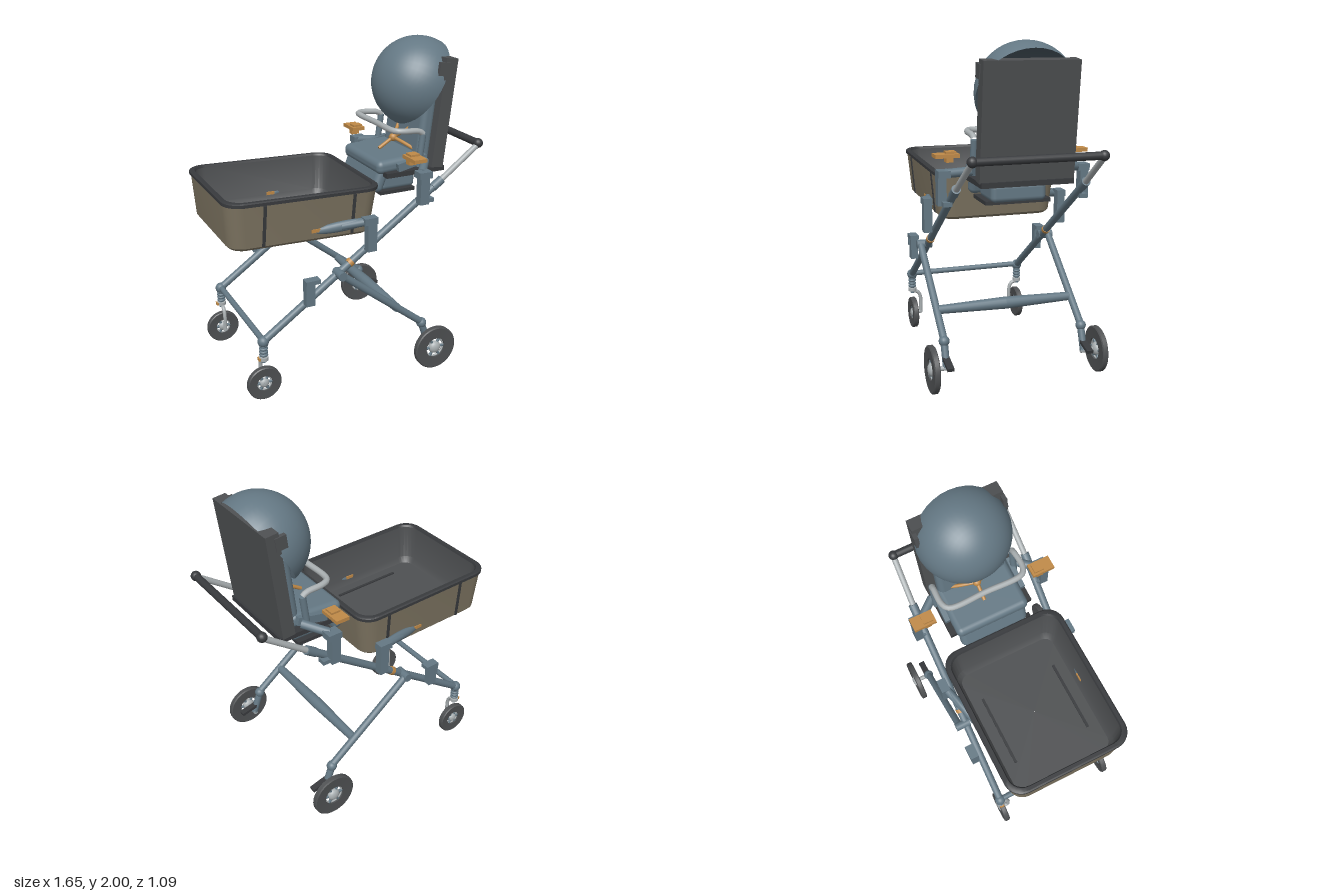
import * as THREE from 'three';
import { toCreasedNormals } from 'three/addons/utils/BufferGeometryUtils.js';
import { RoundedBoxGeometry } from 'three/addons/geometries/RoundedBoxGeometry.js';

const mat = (name, color) => Object.assign(new THREE.MeshStandardMaterial({ color }), { name });
const V = (x, y, z) => new THREE.Vector3(x, y, z);

export function createModel() {
  const slate = mat('slate frame', 0x647884);
  const dark = mat('charcoal', 0x4e5052);
  const black = mat('black trim', 0x383a3d);
  const tan = mat('tan fabric', 0x7d7461);
  const orange = mat('orange', 0xc08a48);
  const light = mat('light metal', 0xa9afb1);
  const inside = mat('hood lining', 0x46545d);
  inside.side = THREE.BackSide;

  const root = new THREE.Group();
  const add = (name, geo, m, parent = root) => {
    const mesh = new THREE.Mesh(geo, m);
    mesh.name = name;
    parent.add(mesh);
    return mesh;
  };
  const bar = (name, a, b, r, m, parent = root, r2 = r) => {
    const d = b.clone().sub(a);
    const mesh = add(name, new THREE.CylinderGeometry(r2, r, d.length(), 16), m, parent);
    mesh.position.copy(a).add(b).multiplyScalar(0.5);
    mesh.quaternion.setFromUnitVectors(V(0, 1, 0), d.normalize());
    return mesh;
  };
  const box = (name, x, y, z, w, h, d, m, parent = root, rz = 0) => {
    const mesh = add(name, new THREE.BoxGeometry(w, h, d), m, parent);
    mesh.position.set(x, y, z);
    mesh.rotation.z = rz;
    return mesh;
  };
  const ball = (name, x, y, z, r, m, parent = root) => {
    const mesh = add(name, new THREE.SphereGeometry(r, 16, 12), m, parent);
    mesh.position.set(x, y, z);
    return mesh;
  };
  const tube = (name, pts, r, m, parent = root) =>
    add(name, new THREE.TubeGeometry(new THREE.CatmullRomCurve3(pts, false, 'centripetal'), 40, r, 10), m, parent);

  // Skin through rounded rectangles given as [halfX, halfZ, cornerRadius, y]
  const loft = (loops) => {
    const ring = ([hx, hz, r, y]) => {
      const out = [];
      for (let q = 0; q < 4; q++) for (let k = 0; k <= 6; k++) {
        const t = (q + k / 6) * Math.PI / 2;
        const sx = q === 0 || q === 3 ? 1 : -1, sz = q < 2 ? 1 : -1;
        out.push([sx * (hx - r) + r * Math.cos(t), y, sz * (hz - r) + r * Math.sin(t)]);
      }
      return out;
    };
    const pos = [];
    for (let i = 0; i < loops.length - 1; i++) {
      const A = ring(loops[i]), B = ring(loops[i + 1]);
      A.forEach((a, j) => {
        const n = (j + 1) % A.length;
        pos.push(...a, ...B[j], ...B[n], ...a, ...B[n], ...A[n]);
      });
    }
    const g = new THREE.BufferGeometry();
    g.setAttribute('position', new THREE.Float32BufferAttribute(pos, 3));
    g.computeVertexNormals();
    return toCreasedNormals(g, 0.6);
  };

  // Wheel lying in the xy plane
  const wheel = (name, x, y, z, R) => {
    const g = new THREE.Group();
    g.name = name;
    g.position.set(x, y, z);
    root.add(g);
    const ri = R * 0.46, w = 0.018;
    const profile = [[ri, -w * 0.8], [R * 0.95, -w], [R, -w * 0.7], [R, w * 0.7], [R * 0.95, w], [ri, w * 0.8], [ri, -w * 0.8]];
    const tyre = new THREE.LatheGeometry(profile.map(p => new THREE.Vector2(...p)), 40);
    add('tyre', toCreasedNormals(tyre, 0.5), dark, g).rotation.x = Math.PI / 2;
    add('rim', new THREE.TorusGeometry(ri * 0.95, 0.006, 8, 32), light, g);
    for (let i = 0; i < 6; i++) {
      const t = i * Math.PI / 3;
      bar('spoke', V(0, 0, 0), V(Math.cos(t) * ri, Math.sin(t) * ri, 0), 0.009, slate, g);
    }
    ball('hub', 0, 0, 0, R * 0.29, light, g).scale.z = 0.7;
  };

  // Carry cot: tan shell, black rim, charcoal lining
  const cot = new THREE.Group();
  cot.name = 'carryCot';
  cot.position.set(-0.345, 1.222, 0);
  cot.rotation.z = -0.03;
  root.add(cot);
  add('cotShell', loft([[0.002, 0.002, 0.001, -0.282], [0.43, 0.34, 0.08, -0.282], [0.446, 0.356, 0.09, -0.265], [0.472, 0.382, 0.1, -0.005]]), tan, cot);
  add('cotRim', loft([[0.47, 0.38, 0.1, -0.014], [0.48, 0.39, 0.105, -0.012], [0.48, 0.39, 0.105, 0.006], [0.472, 0.382, 0.1, 0.012], [0.452, 0.362, 0.09, 0.012], [0.446, 0.356, 0.09, 0]]), black, cot);
  add('cotLining', loft([[0.452, 0.362, 0.09, 0.008], [0.432, 0.342, 0.08, -0.22], [0.405, 0.318, 0.06, -0.255], [0.002, 0.002, 0.001, -0.255]]), dark, cot);
  for (const s of [1, -1]) {
    for (const x of [-0.255, 0.295]) box('cotSideStrap', x, -0.14, s * 0.37, 0.018, 0.25, 0.009, black, cot).rotation.x = s * 0.1;
    box('floorRib', -0.01, -0.252, s * 0.245, 0.45, 0.009, 0.016, black, cot);
  }

  // Parts repeated on both sides of the chassis
  for (const s of [1, -1]) {
    const z = s * 0.385, zl = s * 0.43;
    bar('mainTube', V(-0.64, 0.385, z), V(0.52, 1.195, z), 0.023, slate);
    bar('handleTube', V(0.5, 1.18, z), V(0.79, 1.385, s * 0.372), 0.018, light);
    bar('tubeCollar', V(0.47, 1.16, z), V(0.53, 1.202, z), 0.027, slate);
    ball('handleEnd', 0.79, 1.39, s * 0.37, 0.03, black);
    bar('rearLeg', V(-0.17, 0.735, zl), V(0.4, 0.29, zl), 0.022, slate);
    bar('legPivot', V(-0.16, 0.725, s * 0.36), V(-0.16, 0.725, s * 0.455), 0.027, slate);
    bar('pivotRing', V(-0.09, 0.77, z), V(-0.07, 0.784, z), 0.027, orange);
    ball('legKnuckle', 0.4, 0.285, zl, 0.032, slate);
    bar('legFoot', V(0.4, 0.28, zl), V(0.45, 0.14, zl), 0.022, slate);
    bar('rearAxle', V(0.45, 0.14, s * 0.41), V(0.45, 0.14, s * 0.54), 0.014, light);
    box('brakeLever', 0.49, 0.18, zl, 0.12, 0.02, 0.04, black, root, -0.25);
    wheel('rearWheel', 0.45, 0.142, s * 0.515, 0.14);

    // Sprung front castor
    ball('castorHead', -0.64, 0.385, z, 0.034, slate);
    bar('castorStem', V(-0.64, 0.25, z), V(-0.64, 0.4, z), 0.014, slate);
    for (let i = 0; i < 4; i++) {
      const coil = add('springCoil', new THREE.TorusGeometry(0.019, 0.008, 8, 16), slate);
      coil.position.set(-0.64, 0.3 + i * 0.02, z);
      coil.rotation.x = Math.PI / 2;
    }
    bar('castorRing', V(-0.64, 0.265, z), V(-0.64, 0.285, z), 0.028, light);
    box('castorClip', -0.66, 0.275, z, 0.03, 0.016, 0.03, orange);
    tube('castorFork', [V(-0.64, 0.265, z), V(-0.64, 0.25, s * 0.345), V(-0.64, 0.21, s * 0.328), V(-0.64, 0.11, s * 0.328)], 0.012, light);
    bar('frontAxle', V(-0.64, 0.107, s * 0.32), V(-0.64, 0.107, s * 0.4), 0.012, light);
    wheel('frontWheel', -0.64, 0.107, s * 0.38, 0.105);

    // Attachment brackets along the main tube
    box('lowerBracket', -0.365, 0.65, zl, 0.055, 0.14, 0.045, slate);
    box('lowerBracketTop', -0.35, 0.73, s * 0.435, 0.09, 0.025, 0.055, slate);
    box('lowerBracketTab', -0.385, 0.7, s * 0.435, 0.02, 0.07, 0.05, slate);
    box('cotBracket', 0.03, 0.94, zl, 0.058, 0.18, 0.05, slate);
    box('cotBracketTop', 0.022, 1.04, zl, 0.085, 0.04, 0.055, slate);
    const lever = ball('cotLever', -0.13, 1.015, s * 0.385, 0.185, slate);
    lever.scale.set(1, 0.17, 0.13);
    lever.rotation.set(0, -s * 0.23, 0.13);
    bar('cotLeverArm', V(-0.14, 1.015, s * 0.385), V(0.03, 1.035, zl), 0.024, slate);
    box('leverButton', -0.29, 1.005, s * 0.352, 0.055, 0.02, 0.03, orange);
    box('seatBracket', 0.375, 1.18, s * 0.43, 0.06, 0.19, 0.05, slate);
    box('seatBracketTop', 0.38, 1.265, s * 0.42, 0.085, 0.04, 0.07, slate);
    box('seatBracketFoot', 0.4, 1.1, s * 0.41, 0.1, 0.025, 0.05, slate);
    box('releasePad', 0.335, 1.36, s * 0.39, 0.085, 0.022, 0.14, orange);
    box('releasePadCap', 0.335, 1.378, s * 0.365, 0.06, 0.012, 0.06, orange);
    box('releasePadStem', 0.325, 1.335, s * 0.37, 0.05, 0.03, 0.04, orange);

    // Seat side arms
    bar('seatArm', V(0.38, 1.265, s * 0.4), V(0.48, 1.29, s * 0.27), 0.026, slate);
    bar('armPost', V(0.44, 1.26, s * 0.262), V(0.465, 1.46, s * 0.262), 0.02, slate);
    box('seatSide', 0.4, 1.285, s * 0.25, 0.2, 0.05, 0.03, slate, root, 0.2);
    box('hoodMount', 0.59, 1.84, s * 0.268, 0.07, 0.08, 0.025, dark, root, -0.12);

    // Harness straps
    tube('shoulderStrap', [V(0.515, 1.62, s * 0.09), V(0.49, 1.46, s * 0.07), V(0.41, 1.38, 0)], 0.011, orange);
    tube('hipStrap', [V(0.48, 1.33, s * 0.16), V(0.44, 1.36, s * 0.08), V(0.41, 1.38, 0)], 0.011, orange);
  }

  // Cross members
  bar('handleBar', V(0.79, 1.39, -0.37), V(0.79, 1.39, 0.37), 0.023, black);
  bar('frontCrossBar', V(-0.64, 0.39, -0.385), V(-0.64, 0.39, 0.385), 0.018, slate);
  for (const s of [1, -1]) bar('rearCrossBar', V(0.23, 0.418, 0), V(0.23, 0.418, s * 0.42), 0.037, slate, root, 0.026);

  // Seat
  const pad = (name, x, y, w, h, d, r, m, rz) => {
    const mesh = add(name, new RoundedBoxGeometry(w, h, d, 4, r), m);
    mesh.position.set(x, y, 0);
    mesh.rotation.z = rz;
  };
  box('backrest', 0.604, 1.57, 0, 0.08, 0.665, 0.55, dark, root, -0.115);
  pad('backCushion', 0.525, 1.49, 0.09, 0.46, 0.44, 0.035, slate, -0.115);
  box('seatPlate', 0.42, 1.228, 0, 0.4, 0.03, 0.54, black);
  pad('seatCushion', 0.35, 1.275, 0.34, 0.085, 0.47, 0.035, slate, 0.06);
  pad('legRest', 0.215, 1.19, 0.075, 0.17, 0.44, 0.035, slate, -0.35);
  pad('underSeat', 0.36, 1.15, 0.24, 0.11, 0.33, 0.03, slate, 0);
  box('footPlate', 0.34, 1.095, 0, 0.24, 0.022, 0.39, black);
  bar('crotchStrap', V(0.31, 1.32, 0), V(0.41, 1.38, 0), 0.011, orange);
  ball('buckle', 0.41, 1.38, 0, 0.026, orange);

  // Bumper bar in front of the seat
  tube('bumperBar', [V(0.465, 1.46, -0.262), V(0.44, 1.478, -0.262), V(0.33, 1.49, -0.262), V(0.285, 1.492, -0.235), V(0.28, 1.492, 0),
    V(0.285, 1.492, 0.235), V(0.33, 1.49, 0.262), V(0.44, 1.478, 0.262), V(0.465, 1.46, 0.262)], 0.018, light);

  // Half-sphere hood with lining
  const hoodGeo = new THREE.SphereGeometry(0.283, 36, 14, 0, Math.PI * 2, 0, Math.PI / 2);
  for (const [name, m] of [['hood', slate], ['hoodLining', inside]]) {
    const hood = add(name, hoodGeo, m);
    hood.position.set(0.568, 1.717, 0);
    hood.quaternion.setFromUnitVectors(V(0, 1, 0), V(-0.86, 0.51, 0).normalize());
  }
  return root;
}
